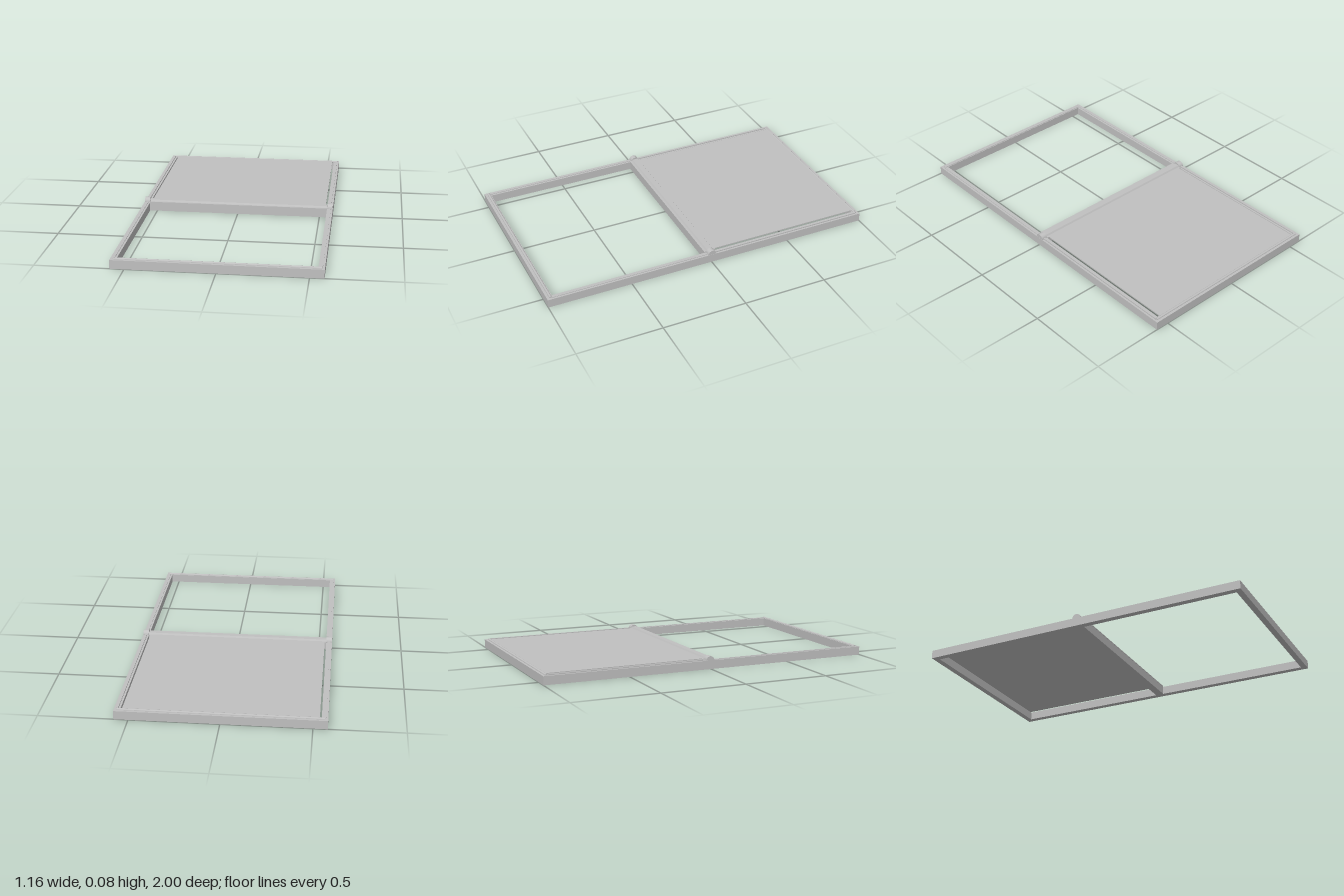
import * as THREE from 'three';

const W = 0.58, H = 0.05, T = 0.035;

export function createModel() {
  const root = new THREE.Group();
  root.name = 'slidingScreenFrame';
  const grey = new THREE.MeshStandardMaterial({ color: 0xc0c0c0 });
  grey.name = 'grey';

  const add = (name, geometry, x = 0, y = 0, z = 0) => {
    const mesh = new THREE.Mesh(geometry, grey);
    mesh.name = name;
    mesh.position.set(x, y, z);
    root.add(mesh);
    return mesh;
  };
  const box = (name, w, h, d, x, y, z) => add(name, new THREE.BoxGeometry(w, h, d), x, y, z);

  // Closed outline for an upright rectangle, in x and z
  const rect = (path, x, z0, z1) => {
    path.moveTo(-x, z0);
    path.lineTo(x, z0);
    path.lineTo(x, z1);
    path.lineTo(-x, z1);
    path.closePath();
    return path;
  };

  // Main frame with two openings, split by the middle beam
  const outline = rect(new THREE.Shape(), W, -1, 1);
  outline.holes.push(rect(new THREE.Path(), W - T, 0.035 - 0.005, 1 - T));
  outline.holes.push(rect(new THREE.Path(), W - T, -1 + T, -0.02));
  const frame = new THREE.ExtrudeGeometry(outline, { depth: H, bevelEnabled: false });
  frame.rotateX(Math.PI / 2);
  add('mainFrame', frame, 0, H, 0);

  // Low guide ridges along the tops of the side rails
  for (const s of [-1, 1]) {
    box('frontGuide', 0.012, 0.003, 0.96, s * 0.5625, H + 0.0015, 0.5);
    box('backGuide', 0.012, 0.006, 0.95, s * 0.5625, H + 0.003, -0.5);
  }

  // Half-round beads on the end rails
  for (const s of [-1, 1]) {
    const bead = new THREE.CylinderGeometry(0.008, 0.008, 1.13, 12);
    bead.rotateZ(Math.PI / 2);
    add('endBead', bead, 0, H, s * 0.977);
  }

  // Thin cover over the back opening
  box('backPanel', 1.07, 0.006, 0.94, 0, 0.053, -0.505);

  // Cross bar resting on the middle beam, with a rounded profile along x
  const profile = new THREE.Shape();
  profile.moveTo(-0.035, 0);
  profile.lineTo(0.035, 0);
  profile.lineTo(0.035, 0.006);
  profile.lineTo(0.022, 0.006);
  profile.lineTo(0.016, 0.015);
  profile.lineTo(-0.016, 0.015);
  profile.lineTo(-0.022, 0.006);
  profile.lineTo(-0.035, 0.006);
  const bar = new THREE.ExtrudeGeometry(profile, { depth: 1.09, bevelEnabled: false });
  bar.translate(0, 0, -0.545);
  bar.rotateY(Math.PI / 2);
  add('crossBar', bar, 0, H, -0.004);

  // Rounded end caps of the cross bar
  const cap = new THREE.Shape();
  cap.moveTo(-0.025, 0);
  cap.lineTo(0.025, 0);
  cap.absarc(0, 0, 0.025, 0, Math.PI, false);
  const capGeometry = new THREE.ExtrudeGeometry(cap, { depth: 0.033, bevelEnabled: false, curveSegments: 16 });
  capGeometry.translate(0, 0, -0.0165);
  capGeometry.rotateY(Math.PI / 2);
  for (const s of [-1, 1]) add('endCap', capGeometry, s * 0.5625, H, -0.004);

  return root;
}
